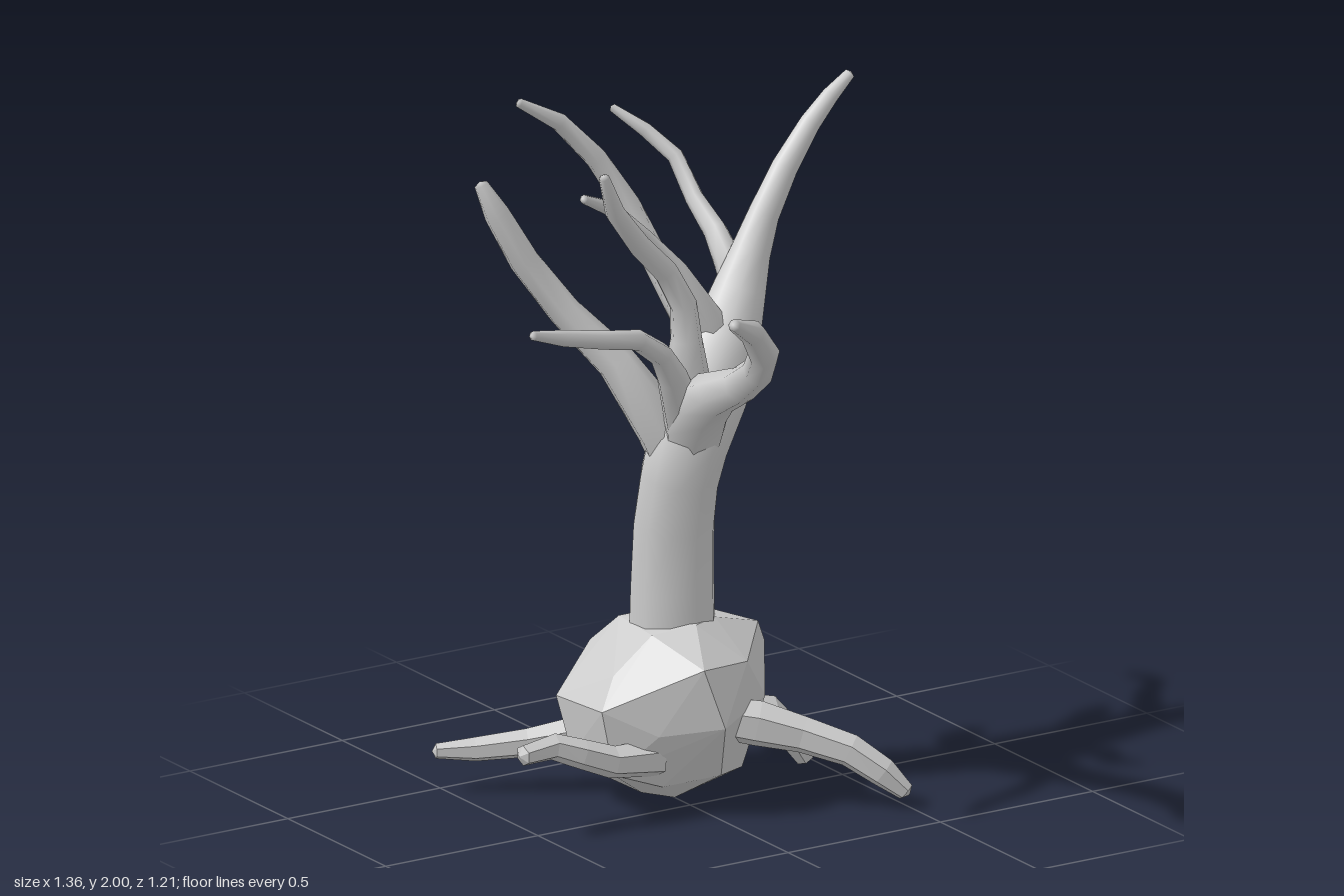
import * as THREE from 'three';
import { ConvexGeometry } from 'three/addons/geometries/ConvexGeometry.js';

// Tapered limb swept through [x, y, z, radius] stations, closed at the tip
function limbGeometry(stations, sides) {
  const pts = stations.map(s => new THREE.Vector3(s[0], s[1], s[2]));
  const last = pts.length - 1;
  const positions = [], index = [];
  const n = new THREE.Vector3(1, 0, 0.31), b = new THREE.Vector3(), t = new THREE.Vector3(), v = new THREE.Vector3();
  const dir = i => pts[i + 1].clone().sub(pts[i]).normalize();
  pts.forEach((p, i) => {
    t.copy(dir(Math.min(i, last - 1)));
    if (i > 0 && i < last) t.add(dir(i - 1)).normalize();
    if (i === 0 && Math.abs(n.dot(t)) > 0.85) n.set(0, 1, 0);
    n.addScaledVector(t, -n.dot(t)).normalize();
    b.crossVectors(t, n);
    for (let k = 0; k < sides; k++) {
      const a = k / sides * Math.PI * 2, r = stations[i][3];
      v.copy(p).addScaledVector(n, Math.cos(a) * r).addScaledVector(b, Math.sin(a) * r);
      positions.push(v.x, v.y, v.z);
      if (i === last) continue;
      const k2 = (k + 1) % sides, row = i * sides, up = row + sides;
      index.push(row + k, row + k2, up + k2, row + k, up + k2, up + k);
    }
  });
  // tip
  v.copy(pts[last]).addScaledVector(t, stations[last][3] * 0.5);
  positions.push(v.x, v.y, v.z);
  const row = last * sides;
  for (let k = 0; k < sides; k++) index.push(row + k, row + (k + 1) % sides, row + sides);
  const g = new THREE.BufferGeometry();
  g.setAttribute('position', new THREE.Float32BufferAttribute(positions, 3));
  g.setIndex(index);
  g.computeVertexNormals();
  return g;
}

const TRUNK = [
  [0.027, 0.42, -0.135, 0.124], [0.03, 0.6, -0.138, 0.12], [0.028, 0.78, -0.127, 0.116],
  [0.033, 0.92, -0.105, 0.113], [0.05, 1.02, -0.09, 0.117], [0.115, 1.15, -0.1, 0.122],
  [0.2, 1.28, -0.133, 0.102], [0.265, 1.4, -0.165, 0.079], [0.315, 1.5, -0.183, 0.059],
  [0.365, 1.6, -0.193, 0.046], [0.44, 1.72, -0.203, 0.039], [0.53, 1.83, -0.213, 0.031],
  [0.6, 1.895, -0.22, 0.025], [0.67, 1.945, -0.228, 0.016],
];

const BRANCHES = {
  frontBranch: [
    [0.06, 0.95, -0.1, 0.07], [0.04, 1.1, -0.04, 0.095], [0.015, 1.185, 0.05, 0.082], [0.0, 1.235, 0.14, 0.064],
    [0.01, 1.285, 0.24, 0.052], [0.0, 1.36, 0.35, 0.046], [-0.04, 1.44, 0.44, 0.044], [-0.13, 1.54, 0.52, 0.037],
    [-0.235, 1.6, 0.59, 0.018]],
  leftBranch: [
    [0.01, 1.1, -0.04, 0.06], [-0.08, 1.27, 0.03, 0.044], [-0.15, 1.36, 0.08, 0.034], [-0.25, 1.43, 0.12, 0.03],
    [-0.4, 1.47, 0.17, 0.027], [-0.55, 1.51, 0.2, 0.024], [-0.67, 1.55, 0.24, 0.014]],
  upperLeftBranch: [
    [0.03, 1.11, -0.04, 0.07], [0.005, 1.25, -0.025, 0.062], [0.0, 1.35, -0.02, 0.045], [-0.01, 1.45, -0.02, 0.039],
    [-0.07, 1.56, -0.02, 0.035], [-0.17, 1.66, 0.0, 0.032], [-0.27, 1.78, 0.035, 0.028], [-0.325, 1.9, 0.065, 0.015]],
  backLeftBranch: [
    [0.04, 0.88, -0.11, 0.05], [-0.01, 1.06, -0.12, 0.078], [-0.11, 1.25, -0.21, 0.057], [-0.22, 1.39, -0.3, 0.047],
    [-0.32, 1.54, -0.35, 0.043], [-0.39, 1.68, -0.38, 0.037], [-0.43, 1.77, -0.4, 0.02]],
  tallBackBranch: [
    [0.17, 1.17, -0.1, 0.05], [0.125, 1.33, -0.17, 0.058], [0.06, 1.5, -0.27, 0.039], [0.01, 1.65, -0.33, 0.035],
    [-0.07, 1.79, -0.37, 0.031], [-0.18, 1.91, -0.39, 0.026], [-0.305, 1.985, -0.4, 0.014]],
  innerBranch: [
    [0.21, 1.24, -0.12, 0.05], [0.135, 1.36, -0.115, 0.04], [0.06, 1.5, -0.16, 0.029], [-0.04, 1.61, -0.175, 0.025],
    [-0.16, 1.72, -0.16, 0.022], [-0.285, 1.785, -0.1, 0.013]],
  backTwig: [
    [0.255, 1.34, -0.14, 0.035], [0.27, 1.47, -0.22, 0.043], [0.275, 1.54, -0.3, 0.034], [0.27, 1.61, -0.4, 0.027],
    [0.26, 1.71, -0.48, 0.024], [0.2, 1.78, -0.54, 0.021], [0.13, 1.84, -0.6, 0.012]],
};

const ROOTS = {
  backLeftRoot: [
    [-0.12, 0.17, -0.25, 0.06], [-0.3, 0.135, -0.36, 0.042], [-0.43, 0.12, -0.43, 0.035], [-0.53, 0.12, -0.475, 0.022]],
  leftRoot: [
    [-0.13, 0.17, 0.03, 0.055], [-0.28, 0.185, 0.035, 0.046], [-0.37, 0.22, 0.02, 0.042],
    [-0.45, 0.25, 0.0, 0.038], [-0.555, 0.245, 0.01, 0.03]],
  frontRightRoot: [
    [0.07, 0.25, 0.02, 0.06], [0.17, 0.23, 0.08, 0.066], [0.27, 0.2, 0.155, 0.053],
    [0.37, 0.16, 0.24, 0.048], [0.44, 0.1, 0.3, 0.043], [0.49, 0.045, 0.34, 0.026]],
  backRightRoot: [
    [0.15, 0.28, -0.21, 0.065], [0.3, 0.21, -0.29, 0.053], [0.42, 0.12, -0.36, 0.041], [0.55, 0.05, -0.425, 0.022]],
  rightRoot: [
    [0.2, 0.21, -0.1, 0.055], [0.32, 0.19, -0.1, 0.045], [0.39, 0.11, -0.085, 0.041], [0.435, 0.035, -0.09, 0.027]],
};

// Corners of the faceted root ball, top to bottom
const BALL = [
  [-0.1, 0.5, -0.04], [0.02, 0.52, 0.0], [0.12, 0.51, -0.06], [0.14, 0.5, -0.24], [-0.08, 0.5, -0.24],
  [-0.22, 0.4, -0.05], [-0.05, 0.44, 0.15], [0.13, 0.42, 0.09], [0.3, 0.45, -0.12], [0.19, 0.43, -0.33],
  [-0.02, 0.35, -0.43], [-0.13, 0.42, -0.31], [-0.29, 0.32, 0.0], [-0.28, 0.3, -0.25], [0.34, 0.38, -0.15],
  [0.24, 0.28, 0.01], [0.0, 0.27, 0.18], [-0.16, 0.25, 0.09], [-0.26, 0.14, -0.2], [-0.25, 0.13, 0.0],
  [-0.02, 0.19, -0.44], [0.22, 0.2, -0.35], [0.32, 0.22, -0.16], [-0.11, 0.08, 0.03], [0.05, 0.1, 0.08],
  [0.19, 0.07, -0.03], [0.19, 0.08, -0.25], [0.03, 0.05, -0.3], [-0.16, 0.06, -0.23], [0.0, 0.0, -0.08],
  [0.07, 0.01, -0.18], [-0.07, 0.01, -0.14], [-0.15, 0.24, -0.4],
];

export function createModel() {
  const tree = new THREE.Group();
  tree.name = 'bareTree';
  const smooth = new THREE.MeshStandardMaterial({ color: 0xcccccc });
  const faceted = new THREE.MeshStandardMaterial({ color: 0xcccccc, flatShading: true });
  const add = (name, geometry, material) => {
    const mesh = new THREE.Mesh(geometry, material);
    mesh.name = name;
    tree.add(mesh);
  };

  add('rootBall', new ConvexGeometry(BALL.map(p => new THREE.Vector3(...p))), faceted);
  add('trunk', limbGeometry(TRUNK, 10), smooth);
  for (const [name, path] of Object.entries(BRANCHES)) add(name, limbGeometry(path, 7), smooth);
  for (const [name, path] of Object.entries(ROOTS)) add(name, limbGeometry(path, 6), faceted);
  return tree;
}
